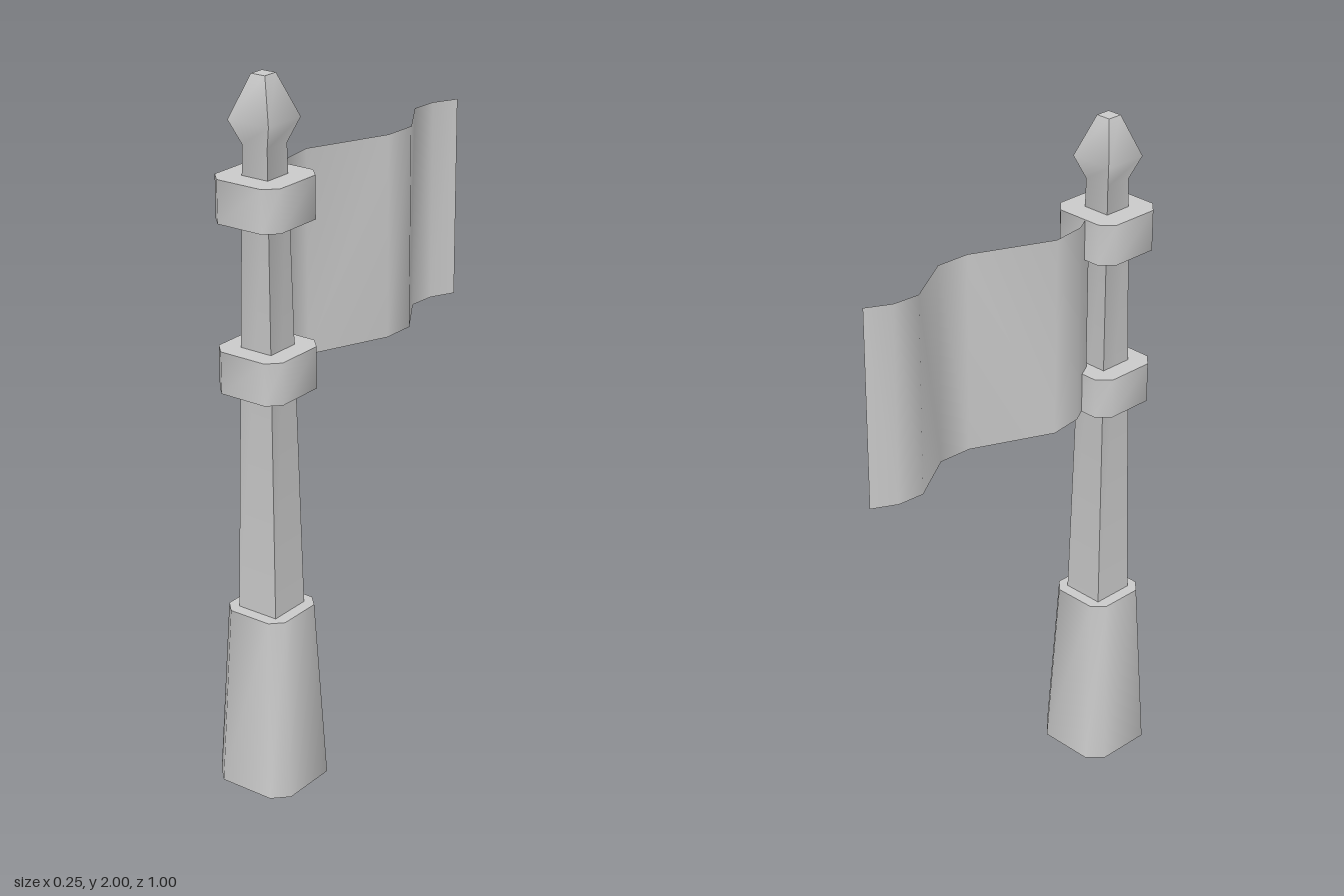
import * as THREE from 'three';
import { toCreasedNormals } from 'three/addons/utils/BufferGeometryUtils.js';

const POLE_Z = 0.377;

// Square outline of half width h, corners cut by c (c = 0 keeps four corners)
function outline(h, c) {
  const points = [];
  for (const [sx, sz] of [[1, 1], [1, -1], [-1, -1], [-1, 1]]) {
    if (!c) { points.push([sx * h, sz * h]); continue; }
    const a = [sx * (h - c), sz * h], b = [sx * h, sz * (h - c)];
    points.push(...(sx * sz > 0 ? [a, b] : [b, a]));
  }
  return points;
}

// Capped solid through stacked sections [y, halfWidth, cornerCut]
function loft(sections) {
  const positions = [], index = [];
  const n = outline(...sections[0].slice(1)).length;
  for (const [y, h, c] of sections) {
    for (const [x, z] of outline(h, c)) positions.push(x, y, z);
  }
  for (let s = 0; s < sections.length - 1; s++) {
    for (let i = 0; i < n; i++) {
      const a = s * n + i, b = s * n + (i + 1) % n;
      index.push(a, b, b + n, a, b + n, a + n);
    }
  }
  const top = (sections.length - 1) * n;
  for (let i = 1; i < n - 1; i++) {
    index.push(0, i + 1, i, top, top + i, top + i + 1);
  }
  const geometry = new THREE.BufferGeometry();
  geometry.setAttribute('position', new THREE.Float32BufferAttribute(positions, 3));
  geometry.setIndex(index);
  return toCreasedNormals(geometry, 1);
}

// Cloth sheet folded along [z, x] points
function clothSheet(folds, bottom, top) {
  const geometry = new THREE.PlaneGeometry(1, top - bottom, folds.length - 1, 1);
  const p = geometry.attributes.position;
  for (let i = 0; i < p.count; i++) {
    const [z, x] = folds[i % folds.length];
    p.setXYZ(i, x, p.getY(i) + (top + bottom) / 2, z);
  }
  geometry.computeVertexNormals();
  return geometry;
}

export function createModel() {
  const group = new THREE.Group();
  const material = new THREE.MeshStandardMaterial({ color: 0xcccccc });
  const add = (name, geometry, z = POLE_Z, mat = material) => {
    const mesh = new THREE.Mesh(geometry, mat);
    mesh.name = name;
    mesh.position.z = z;
    group.add(mesh);
  };

  // Tapered foot with cut corners
  add('base', loft([[0, 0.123, 0.041], [0.525, 0.096, 0.032]]));

  // Square tapering pole ending in a spear-shaped tip
  add('pole', loft([[0.5, 0.063, 0], [1.82, 0.04, 0], [1.885, 0.065, 0], [2, 0.022, 0]]));

  // Two collars holding the flag
  for (const [name, y] of [['lowerCollar', 1.16], ['upperCollar', 1.622]]) {
    add(name, loft([[y, 0.105, 0.034], [y + 0.117, 0.105, 0.034]]));
  }

  // Waving flag
  const folds = [[0.31, 0], [0.23, -0.045], [0.13, -0.058], [-0.1, 0.04],
    [-0.2, 0.043], [-0.35, -0.05], [-0.43, -0.045], [-0.5, -0.01]];
  const cloth = new THREE.MeshStandardMaterial({ color: 0xcccccc, side: THREE.DoubleSide });
  add('flag', clothSheet(folds, 1.16, 1.737), 0, cloth);

  return group;
}
